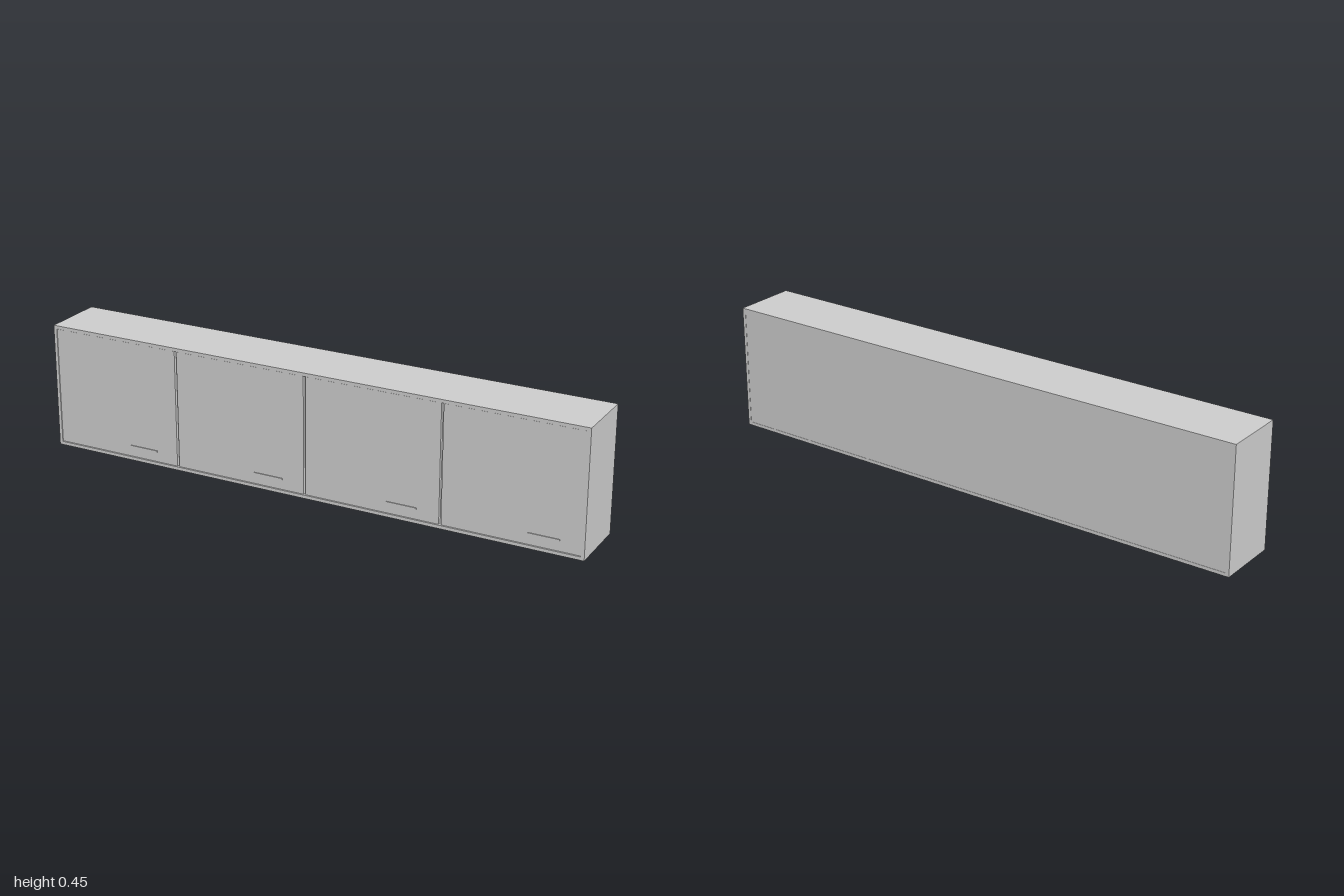
import * as THREE from 'three';

const W = 2, H = 0.45, D = 0.23; // overall size
const T = 0.012;                 // board thickness
const DOORS = 4;

export function createModel() {
  const group = new THREE.Group();
  group.name = 'wallCabinet';
  const material = new THREE.MeshStandardMaterial({ color: 0xcccccc });

  const board = (name, w, h, d, x, y, z) => {
    const mesh = new THREE.Mesh(new THREE.BoxGeometry(w, h, d), material);
    mesh.name = name;
    mesh.position.set(x, y, z);
    group.add(mesh);
  };

  const innerH = H - 2 * T;
  const bay = W / DOORS;

  // Carcass: top and bottom run full width, sides stand between them
  board('topPanel', W, T, D, 0, H - T / 2, 0);
  board('bottomPanel', W, T, D, 0, T / 2, 0);
  for (const s of [-1, 1]) {
    board(s > 0 ? 'leftSide' : 'rightSide', T, innerH, D, s * (W - T) / 2, H / 2, 0);
  }
  board('backPanel', W - 2 * T, innerH, 0.008, 0, H / 2, -D / 2 + 0.005);

  // Dividers behind the door gaps
  for (let i = 1; i < DOORS; i++) {
    board('divider' + i, T, innerH, D - 0.026, -W / 2 + i * bay, H / 2, -0.004);
  }

  // Inset doors, each with a slim bar handle at its lower left corner
  const gap = 0.004, doorFront = D / 2 - 0.003;
  for (let i = 0; i < DOORS; i++) {
    const x0 = i === 0 ? -W / 2 + T : -W / 2 + i * bay + gap;
    const x1 = i === DOORS - 1 ? W / 2 - T : -W / 2 + (i + 1) * bay - gap;
    board('door' + (i + 1), x1 - x0, innerH - 0.003, T, (x0 + x1) / 2, H / 2, doorFront - T / 2);
    board('handle' + (i + 1), 0.11, 0.006, 0.006, -W / 2 + i * bay + 0.36, 0.052, doorFront);
  }
  return group;
}
